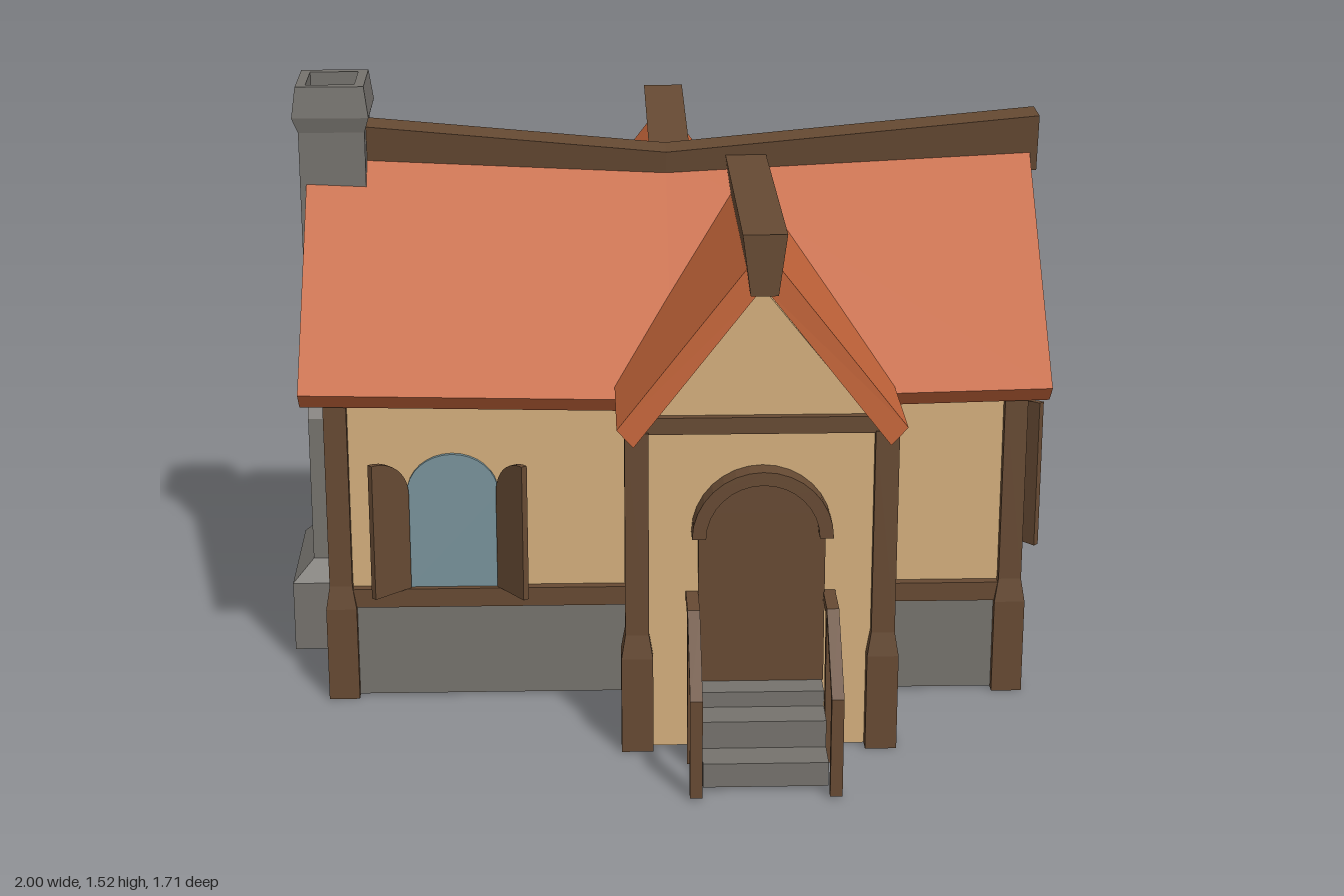
import * as THREE from 'three';

const mat = (color) => new THREE.MeshStandardMaterial({ color, flatShading: true, side: THREE.DoubleSide });
const ROOF = mat(0xc4653a), WOOD = mat(0x664a33), STONE = mat(0x75726d), PLASTER = mat(0xd3ae7c), GLASS = mat(0x78929a);

// Skin a list of four-cornered rings, with flat ends and outward faces
function loft(rings) {
  const tris = [];
  const quad = (a, b, c, d) => tris.push([a, b, c], [a, c, d]);
  for (let i = 0; i + 1 < rings.length; i++)
    for (let k = 0; k < 4; k++) {
      const n = (k + 1) % 4;
      quad(rings[i][k], rings[i][n], rings[i + 1][n], rings[i + 1][k]);
    }
  quad(...[...rings[0]].reverse());
  quad(...rings[rings.length - 1]);
  const V = (p) => new THREE.Vector3(...p);
  const volume = tris.reduce((s, [a, b, c]) => s + V(a).dot(V(b).cross(V(c))), 0);
  if (volume < 0) tris.forEach((t) => t.reverse());
  const g = new THREE.BufferGeometry();
  g.setAttribute('position', new THREE.Float32BufferAttribute(tris.flat(2), 3));
  g.computeVertexNormals();
  return g;
}

const rect = (x0, x1, z0, z1, y) => [[x0, y, z0], [x1, y, z0], [x1, y, z1], [x0, y, z1]];

function add(parent, name, geometry, material) {
  const m = new THREE.Mesh(geometry, material);
  m.name = name;
  parent.add(m);
  return m;
}

function box(parent, name, material, x0, x1, y0, y1, z0, z1) {
  const m = add(parent, name, new THREE.BoxGeometry(x1 - x0, y1 - y0, z1 - z0), material);
  m.position.set((x0 + x1) / 2, (y0 + y1) / 2, (z0 + z1) / 2);
  return m;
}

// Gable roof along z: each station is { ridgeZ, eaveZ, drop, half }
function roof(parent, name, stations, apex, eave, cutX, cutY) {
  const under = eave - cutY + ((apex - eave) / stations[0].half) * (stations[0].half - cutX);
  for (const s of [-1, 1]) {
    const rings = stations.map(({ ridgeZ, eaveZ, drop, half }) => [
      [0, apex - drop, ridgeZ], [s * half, eave - drop * 0.7, eaveZ],
      [s * (half - cutX), eave - cutY - drop * 0.7, eaveZ], [0, under - drop, ridgeZ]]);
    add(parent, name, loft(rings), ROOF);
  }
}

// Tapered ridge beam along z: stations are [z, top height]
function ridge(parent, stations) {
  add(parent, 'ridgeBeam', loft(stations.map(([z, y]) =>
    [[-0.053, y, z], [0.053, y, z], [0.033, y - 0.15, z], [-0.033, y - 0.15, z]])), WOOD);
}

// Wall block with a pointed top, running from z0 to z1
function gable(parent, name, half, y0, eave, apex, z0, z1) {
  const s = new THREE.Shape();
  s.moveTo(-half, y0).lineTo(half, y0).lineTo(half, eave).lineTo(0, apex).lineTo(-half, eave);
  const g = new THREE.ExtrudeGeometry(s, { depth: z1 - z0, bevelEnabled: false });
  add(parent, name, g.translate(0, 0, z0), PLASTER);
}

function archShape(half, spring, top) {
  const s = new THREE.Shape();
  s.moveTo(-half, 0).lineTo(half, 0).lineTo(half, spring);
  s.absellipse(0, spring, half, top - spring, 0, Math.PI, false);
  return s;
}

// Arched pane with two opened half-arch shutters
function windowUnit(parent, half, top, x, z, turn) {
  const g = new THREE.Group();
  g.name = 'window';
  const spring = top - half * 0.9;
  add(g, 'pane', new THREE.ExtrudeGeometry(archShape(half, spring, top), { depth: 0.012, bevelEnabled: false, curveSegments: 8 }), GLASS);
  const leaf = new THREE.Shape();
  leaf.moveTo(0, 0).lineTo(half, 0).lineTo(half, top);
  leaf.absellipse(half, spring, half, top - spring, Math.PI / 2, Math.PI, false);
  const leafGeo = new THREE.ExtrudeGeometry(leaf, { depth: 0.016, bevelEnabled: false, curveSegments: 5 }).translate(0, 0, -0.008);
  for (const [s, deg] of [[-1, 42], [1, 54]]) {
    const a = THREE.MathUtils.degToRad(deg);
    const m = add(g, 'shutter', leafGeo, WOOD);
    m.position.set(s * half, 0, 0.012);
    m.rotation.y = -Math.atan2(Math.sin(a), s * Math.cos(a));
  }
  g.position.set(x, 0.3, z);
  g.rotation.y = turn;
  parent.add(g);
}

export function createModel() {
  const house = new THREE.Group();
  house.name = 'cottage';
  const L = -0.845, R = 0.87, F = 0.215, B = -0.74, MID = -0.26;

  // Main hall, built along z and turned so its ridge follows x
  const hall = new THREE.Group();
  hall.name = 'mainHall';
  hall.rotation.y = Math.PI / 2;
  hall.position.z = MID;
  house.add(hall);
  gable(hall, 'mainWalls', 0.477, 0, 0.82, 1.255, L, R);
  roof(hall, 'mainRoof', [
    { ridgeZ: -0.93, eaveZ: -0.93, drop: 0, half: 0.56 },
    { ridgeZ: 0, eaveZ: 0, drop: 0.04, half: 0.54 },
    { ridgeZ: 0.95, eaveZ: 0.95, drop: 0, half: 0.56 }], 1.355, 0.845, 0.045, 0.045);
  ridge(hall, [[-0.85, 1.41], [0, 1.33], [0.97, 1.42]]);

  // Front porch wing
  const wing = new THREE.Group();
  wing.name = 'porchWing';
  wing.position.x = 0.207;
  house.add(wing);
  gable(wing, 'porchWalls', 0.302, 0, 0.81, 1.19, 0, 0.55);
  roof(wing, 'porchRoof', [
    { ridgeZ: 0.572, eaveZ: 0.592, drop: 0, half: 0.35 },
    { ridgeZ: -0.23, eaveZ: -0.2, drop: 0.015, half: 0.35 }], 1.295, 0.85, 0.04, 0.045);
  ridge(wing, [[0.617, 1.34], [-0.24, 1.32]]);
  box(wing, 'gableTie', WOOD, -0.3, 0.3, 0.83, 0.872, 0.54, 0.57);

  // Rear dormer
  const dormer = new THREE.Group();
  dormer.name = 'rearDormer';
  dormer.position.x = 0.01;
  house.add(dormer);
  gable(dormer, 'dormerWall', 0.265, 0.85, 0.865, 1.21, -0.78, -0.5);
  roof(dormer, 'dormerRoof', [
    { ridgeZ: -0.832, eaveZ: -0.853, drop: 0, half: 0.31 },
    { ridgeZ: -0.29, eaveZ: -0.3, drop: 0.01, half: 0.31 }], 1.315, 0.905, 0.04, 0.045);
  ridge(dormer, [[-0.853, 1.36], [-0.27, 1.325]]);
  box(dormer, 'gableTie', WOOD, -0.25, 0.25, 0.86, 0.9, -0.8, -0.77);

  // Stone footing and timber sills
  box(house, 'stoneBase', STONE, L - 0.015, R + 0.015, 0.004, 0.25, B - 0.015, F + 0.015);
  for (const z of [F, B]) box(house, 'sillBeam', WOOD, L, R, 0.25, 0.3, z - 0.027, z + 0.027);
  for (const x of [L, R]) {
    box(house, 'sillBeam', WOOD, x - 0.027, x + 0.027, 0.25, 0.3, B, F);
    box(house, 'gableTie', WOOD, x - 0.02, x + 0.02, 0.83, 0.875, B, F);
  }

  // Posts with flared feet
  const postGeo = loft([[0, 0.039], [0.25, 0.039], [0.31, 0.029], [0.835, 0.029]]
    .map(([y, h]) => rect(-h, h, -h, h, y)));
  for (const [x, z] of [[L, F], [R, F], [L, B], [R, B], [0.44, B], [-0.41, B], [-0.095, 0.547], [0.51, 0.547]])
    add(house, 'post', postGeo, WOOD).position.set(x, 0, z);

  // Windows with shutters
  windowUnit(house, 0.116, 0.36, -0.555, F, 0);
  windowUnit(house, 0.14, 0.4, R, -0.255, Math.PI / 2);
  windowUnit(house, 0.125, 0.385, 0.01, B, Math.PI);

  // Chimney: stepped stack with a hollow cap; rows are [outer x, inner x, half depth, y]
  add(house, 'chimney', loft([
    [-1, -0.72, 0.192, 0], [-1, -0.72, 0.192, 0.19], [-0.946, -0.74, 0.15, 0.245],
    [-0.946, -0.74, 0.15, 0.64], [-0.946, -0.776, 0.1, 0.72], [-0.946, -0.776, 0.1, 1.4],
    [-0.961, -0.764, 0.11, 1.44], [-0.95, -0.775, 0.1, 1.52],
    [-0.925, -0.8, 0.075, 1.52], [-0.925, -0.8, 0.075, 1.43]]
    .map(([x0, x1, h, y]) => rect(x0, x1, MID - h, MID + h, y))), STONE);

  // Arched door and its hood
  const doorX = 0.21;
  const door = add(house, 'door', new THREE.ExtrudeGeometry(archShape(0.155, 0.39, 0.53),
    { depth: 0.02, bevelEnabled: false, curveSegments: 8 }), WOOD);
  door.position.set(doorX, 0.18, 0.545);
  const hood = new THREE.Shape();
  hood.absarc(0, 0, 0.172, 0, Math.PI, false);
  hood.absarc(0, 0, 0.138, Math.PI, 0, true);
  add(house, 'doorHood', new THREE.ExtrudeGeometry(hood, { depth: 0.055, bevelEnabled: false, curveSegments: 8 }), WOOD)
    .position.set(doorX, 0.572, 0.55);

  // Steps and handrails
  for (const [y, z] of [[0.07, 0.803], [0.14, 0.717], [0.18, 0.632]])
    box(house, 'step', STONE, 0.058, 0.362, 0.008, y, 0.54, z);
  for (const x of [0.04, 0.377]) {
    const x0 = x - 0.015, x1 = x + 0.015;
    box(house, 'railPost', WOOD, x0, x1, 0.004, 0.25, 0.83, 0.853);
    box(house, 'railPost', WOOD, x0, x1, 0.004, 0.4, 0.64, 0.668);
    const path = [[0.853, 0.258], [0.67, 0.415], [0.55, 0.415]];
    add(house, 'handrail', loft(path.map(([z, y]) =>
      [[x0, y, z], [x1, y, z], [x1, y - 0.024, z], [x0, y - 0.024, z]])), WOOD);
  }
  return house;
}
